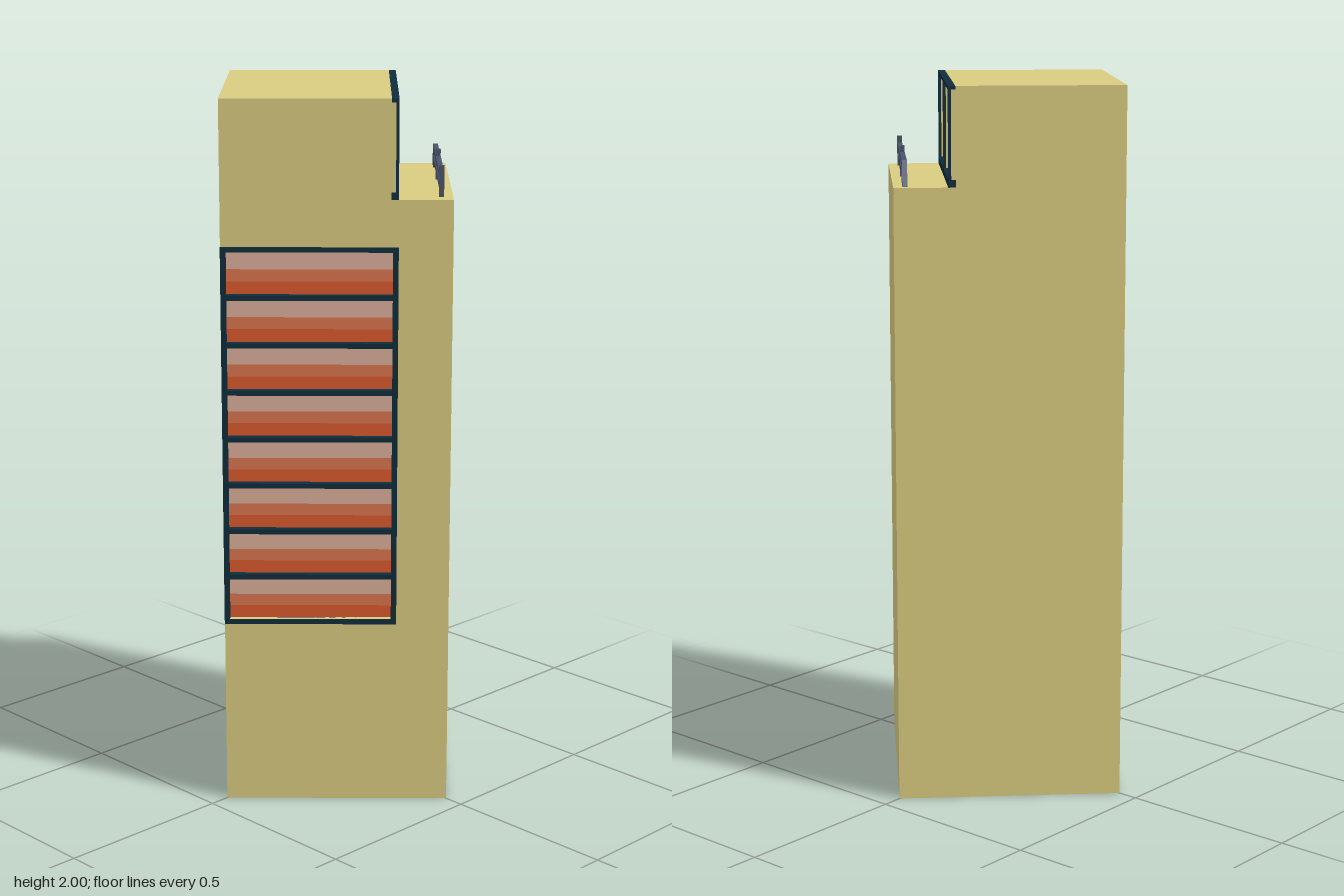
import * as THREE from 'three';

const mat = (name, color) => {
  const m = new THREE.MeshStandardMaterial({ color });
  m.name = name;
  return m;
};

export function createModel() {
  const wall = mat('sandWall', 0xd9cc80);
  const dark = mat('darkFrame', 0x0f2d3c);
  const steel = mat('railingSteel', 0x4a546a);
  const red = mat('glassRed', 0xd95a2e);
  const mid = mat('glassOrange', 0xd97650);
  const patchMat = mat('glassReflection', 0xd86640);
  const pale = mat('glassPale', 0xdcae9a);

  const model = new THREE.Group();
  model.name = 'tower';
  // the square plan stands on its corner; local +z is the terrace side
  model.rotation.y = Math.PI / 4;

  const H = 0.313, STEP = 0.146, TERRACE = 1.73, FRONT = 0.166;

  function part(name, geometry, material, parent = model) {
    const mesh = new THREE.Mesh(geometry, material);
    mesh.name = name;
    parent.add(mesh);
    return mesh;
  }
  // box given by its minimum and maximum corners
  function box(name, a, b, material, parent) {
    const g = new THREE.BoxGeometry(b[0] - a[0], b[1] - a[1], b[2] - a[2]);
    g.translate((a[0] + b[0]) / 2, (a[1] + b[1]) / 2, (a[2] + b[2]) / 2);
    return part(name, g, material, parent);
  }
  function group(name) {
    const g = new THREE.Group();
    g.name = name;
    model.add(g);
    return g;
  }

  // stepped side profile (z, y), extruded towards -x
  const profile = () => new THREE.Shape([
    [-H, 0], [H, 0], [H, TERRACE], [STEP, TERRACE], [STEP, 2], [-H, 2],
  ].map(([z, y]) => new THREE.Vector2(z, y)));
  function slab(name, shape, x, depth) {
    const g = new THREE.ExtrudeGeometry(shape, { depth, bevelEnabled: false });
    g.rotateY(-Math.PI / 2).translate(x, 0, 0);
    return part(name, g, wall);
  }
  slab('towerBody', profile(), H, 2 * H - 0.02);

  // side wall with the recess for the window column
  const y0 = 0.53, y1 = 1.602, z0 = -H, z1 = FRONT, bar = 0.014;
  const pierced = profile();
  pierced.holes.push(new THREE.Path([
    [z0 + bar, y0 + bar], [z0 + bar, y1 - bar], [z1 - bar, y1 - bar], [z1 - bar, y0 + bar],
  ].map(([z, y]) => new THREE.Vector2(z, y))));
  slab('sideWall', pierced, -H + 0.02, 0.02);

  // column of eight banded windows
  const column = group('windowColumn');
  const xo = -H - 0.004, xi = -H + 0.019;
  const n = 8, pitch = (y1 - y0 - bar) / n;
  for (const z of [z0, z1 - bar]) {
    box('columnUpright', [xo, y0, z - 0.0005], [xi, y1, z + bar + 0.0005], dark, column);
  }
  for (let i = 0; i <= n; i++) {
    const y = y0 + i * pitch;
    box('columnCrossbar', [xo, y, z0 + bar], [xi, y + bar, z1 - bar], dark, column);
    if (i === n) break;
    const lo = y + bar, h = pitch - bar;
    const cuts = [0, 0.3, 0.58, 1];
    [red, mid, pale].forEach((m, k) => box('windowBand',
      [xi - 0.003, lo + h * cuts[k], z0 + bar],
      [xi + 0.001, lo + h * cuts[k + 1], z1 - bar], m, column));
  }

  // two-pane window of the penthouse, wall-coloured reveals behind dark bars
  const pent = group('penthouseWindow');
  const w = 0.3145;
  for (const x of [-w, -0.007, w - bar]) {
    box('windowUpright', [x, TERRACE, FRONT - 0.008], [x + bar, 2, FRONT], dark, pent);
    box('windowReveal', [x + 0.001, TERRACE + 0.01, STEP], [x + bar - 0.001, 1.99, FRONT - 0.008], wall, pent);
  }
  for (const [a, b] of [[TERRACE, TERRACE + 0.02], [2 - 0.01, 2]]) {
    box('windowRail', [-w, a, STEP], [w, b, FRONT], dark, pent);
  }
  box('leftPane', [-w + bar, 1.75, STEP], [-0.007, 1.99, STEP + 0.003], red, pent);
  box('rightPane', [0.007, 1.75, STEP], [w - bar, 1.99, STEP + 0.003], mid, pent);
  box('paneReflection', [0.168, 1.89, STEP + 0.003], [0.285, 1.985, STEP + 0.0045], patchMat, pent);

  // terrace railing with rails bent down at one end
  const railing = group('railing');
  const rz = 0.281, t = 0.014;
  for (const x of [-0.26, 0.023]) {
    box('railingPost', [x - t / 2, TERRACE, rz - t / 2], [x + t / 2, 1.815, rz + t / 2], steel, railing);
  }
  for (const [y, bend, foot] of [[1.79, 0.238, 0.278], [1.762, 0.21, 0.236]]) {
    box('railingBar', [-0.267, y - 0.007, rz - t / 2], [bend + 0.003, y + 0.007, rz + t / 2], steel, railing);
    const dx = foot - bend, dy = TERRACE - y;
    const g = new THREE.BoxGeometry(Math.hypot(dx, dy) + 0.008, 0.013, t);
    const leg = part('railingBend', g, steel, railing);
    leg.position.set((bend + foot) / 2, (y + TERRACE) / 2, rz);
    leg.rotation.z = Math.atan2(dy, dx);
  }

  const root = new THREE.Group();
  root.name = 'towerModel';
  root.add(model);
  return root;
}
